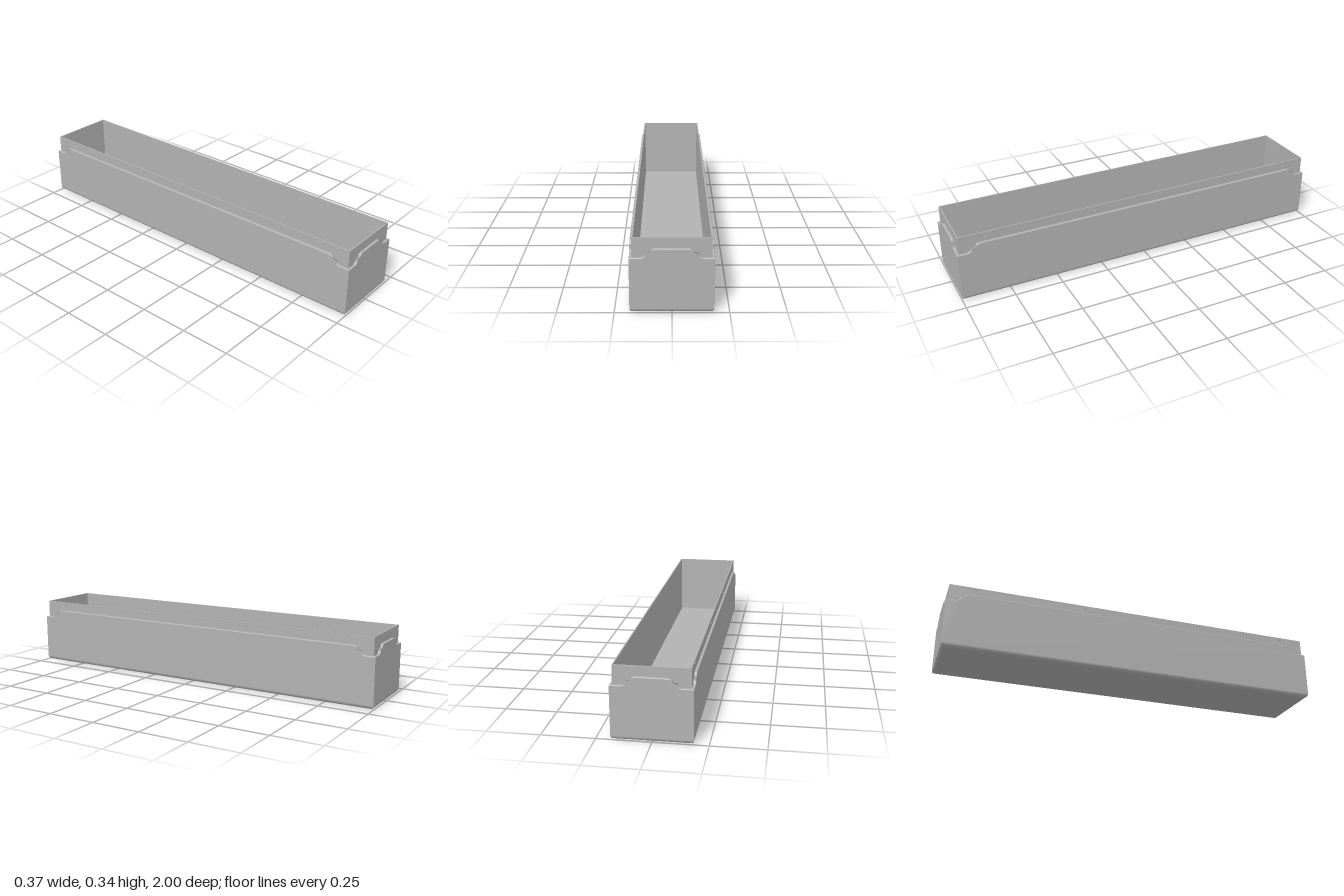
import * as THREE from 'three';

const W = 0.184, L = 1;            // half width and half length of the outer shell
const RIM = 0.298, NOTCH = 0.255;  // rim height and corner notch height
const T = 0.012;                   // shell thickness
const R = 0.02, F = 0.004;         // bottom and rim edge radii
const TOP = 0.345, FLOOR = 0.012;  // liner heights

// Indexed strip from rows of {p, n} points, rows stacked upward, points running along +x
function grid(rows) {
  const pos = [], nor = [], idx = [], m = rows[0].length;
  rows.forEach((row, j) => row.forEach(({ p, n }, i) => {
    pos.push(...p);
    nor.push(...n);
    if (j && i) {
      const d = j * m + i, c = d - 1, b = d - m, a = b - 1;
      idx.push(a, b, d, a, d, c);
    }
  }));
  const g = new THREE.BufferGeometry();
  g.setAttribute('position', new THREE.Float32BufferAttribute(pos, 3));
  g.setAttribute('normal', new THREE.Float32BufferAttribute(nor, 3));
  g.setIndex(idx);
  return g;
}

// Top edge of a panel: low at the corners, S-curving up to the rim
function rimEdge(h) {
  const r = (RIM - NOTCH) / 2, y = NOTCH + r, n = 10;
  const left = [{ x: -h, y: NOTCH, nx: 0, ny: 1 }];
  for (let i = 0; i <= n; i++) {
    const a = -Math.PI / 2 * (1 - i / n), c = Math.cos(a), s = Math.sin(a);
    left.push({ x: -h + 0.049 + r * c, y: y + r * s, nx: -c, ny: -s });
  }
  for (let i = 1; i <= n; i++) {
    const a = Math.PI * (1 - i / n / 2), c = Math.cos(a), s = Math.sin(a);
    left.push({ x: -h + 0.049 + 3 * r + r * c, y: y + r * s, nx: c, ny: s });
  }
  return [...left, ...left.slice().reverse().map(p => ({ ...p, x: -p.x, nx: -p.nx }))];
}

// One shell side facing local +z, with rounded bottom and rim edges mitred at the corners
function panel(name, h, material) {
  const group = new THREE.Group();
  group.name = name;
  const edge = rimEdge(h), last = edge.length - 1;

  const outline = edge.map(e => new THREE.Vector2(e.x - e.nx * F, e.y - e.ny * F));
  outline.push(new THREE.Vector2(h, R), new THREE.Vector2(-h, R));
  const face = new THREE.ShapeGeometry(new THREE.Shape(outline));

  // Rim: quarter round, then a flat land reaching the liner
  const steps = [];
  for (let j = 0; j <= 5; j++) {
    const a = j / 5 * Math.PI / 2;
    steps.push([F * (1 - Math.sin(a)), F * (1 - Math.cos(a)), a]);
  }
  steps.push([0, T, Math.PI / 2]);
  const rim = grid(steps.map(([inset, depth, a]) => edge.map((e, i) => {
    const x = i === 0 ? -h + depth : i === last ? h - depth : e.x - e.nx * inset;
    return {
      p: [x, e.y - e.ny * inset, -depth],
      n: [e.nx * Math.sin(a), e.ny * Math.sin(a), Math.cos(a)],
    };
  })));

  // Rounded bottom edge
  const rows = [];
  for (let j = 8; j >= 0; j--) {
    const a = j / 8 * Math.PI / 2, d = R * (1 - Math.cos(a));
    rows.push([-1, 1].map(s => ({
      p: [s * (h - d), R * (1 - Math.sin(a)), -d],
      n: [0, -Math.sin(a), Math.cos(a)],
    })));
  }
  const parts = { Face: face, Rim: rim, BottomEdge: grid(rows) };
  for (const [part, geometry] of Object.entries(parts)) {
    const mesh = new THREE.Mesh(geometry, material);
    mesh.name = name + part;
    group.add(mesh);
  }
  return group;
}

export function createModel() {
  const model = new THREE.Group();
  model.name = 'troughBox';
  const grey = new THREE.MeshStandardMaterial({ color: 0xb2b2b2, side: THREE.DoubleSide });
  grey.name = 'grey';
  const add = (name, geometry, x = 0, y = 0, z = 0, ry = 0) => {
    const mesh = new THREE.Mesh(geometry, grey);
    mesh.name = name;
    mesh.position.set(x, y, z);
    mesh.rotation.y = ry;
    model.add(mesh);
    return mesh;
  };

  // Outer shell
  [['front', W, L], ['left', L, W], ['back', W, L], ['right', L, W]].forEach(([side, h, dist], i) => {
    const p = panel(side + 'Panel', h, grey);
    p.rotation.y = i * Math.PI / 2;
    p.position.set(Math.sin(p.rotation.y) * dist, 0, Math.cos(p.rotation.y) * dist);
    model.add(p);
  });
  add('underside', new THREE.PlaneGeometry(2 * (W - R), 2 * (L - R))).rotation.x = Math.PI / 2;

  // Liner standing proud of the shell
  const lw = W - T, ll = L - T, skin = 0.004, back = 0.002, wall = skin + back;
  const height = TOP - FLOOR, midY = FLOOR + height / 2;
  add('linerFloor', new THREE.BoxGeometry(2 * lw, 0.004, 2 * ll), 0, FLOOR, 0);

  // Long walls: outer skin with four shallow round holes, backed by a solid sheet
  const sheet = new THREE.Shape([
    new THREE.Vector2(-ll, FLOOR), new THREE.Vector2(ll, FLOOR),
    new THREE.Vector2(ll, TOP), new THREE.Vector2(-ll, TOP),
  ]);
  for (const z of [-0.857, -0.286, 0.286, 0.857]) {
    sheet.holes.push(new THREE.Path().absarc(z, 0.325, 0.008, 0, Math.PI * 2, true));
  }
  const skinGeometry = new THREE.ExtrudeGeometry(sheet, { depth: skin, bevelEnabled: false, curveSegments: 16 });
  for (const s of [1, -1]) {
    const side = s > 0 ? 'left' : 'right', end = s > 0 ? 'front' : 'back';
    add(side + 'LinerSkin', skinGeometry, s * (lw - skin), 0, 0, s * Math.PI / 2);
    add(side + 'LinerWall', new THREE.BoxGeometry(back, height, 2 * ll), s * (lw - skin - back / 2), midY, 0);
    add(end + 'LinerWall', new THREE.BoxGeometry(2 * (lw - wall), height, wall), 0, midY, s * (ll - wall / 2));
  }
  return model;
}
